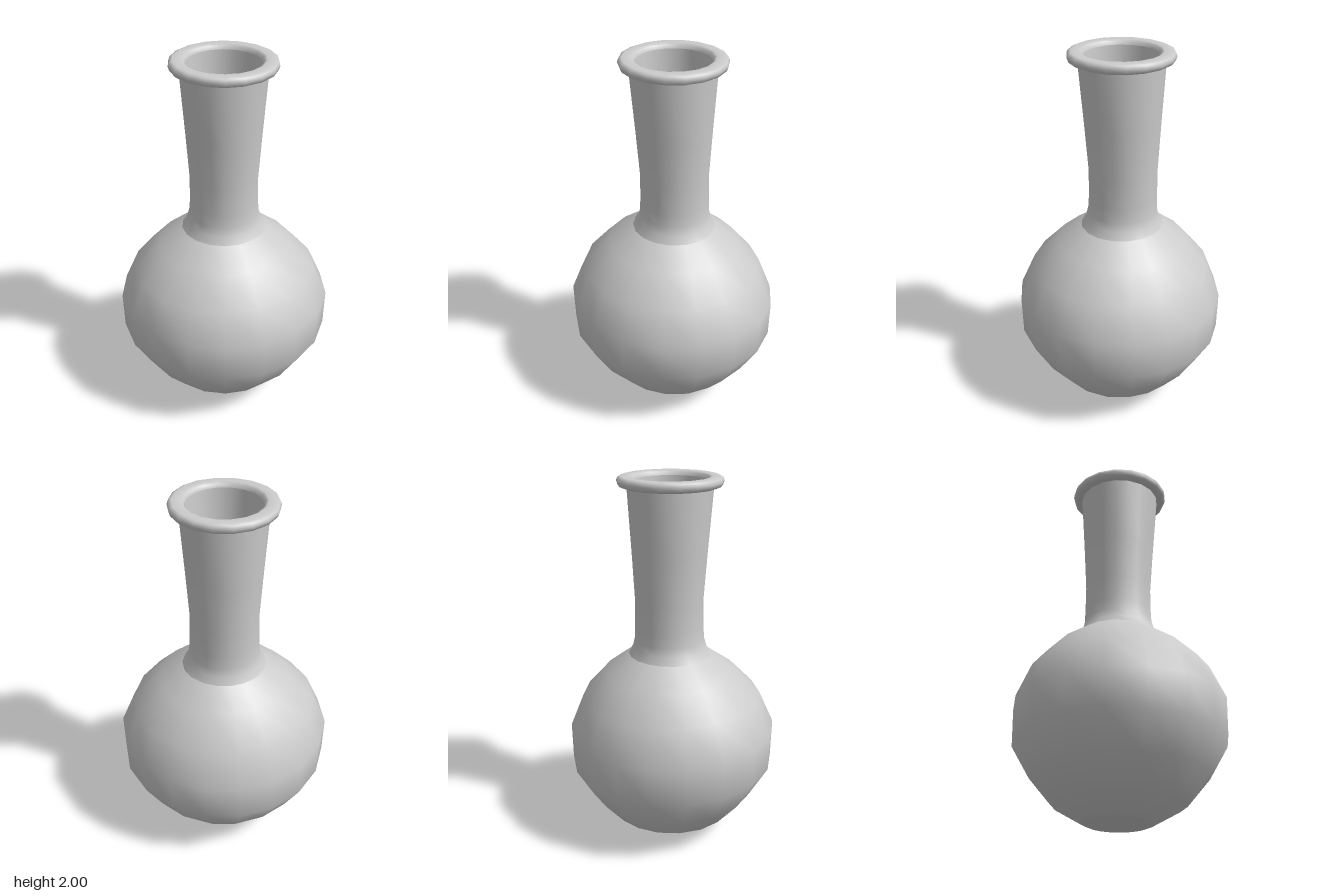
import * as THREE from 'three';
import { mergeVertices } from 'three/addons/utils/BufferGeometryUtils.js';

const SIDES = 18;

// Hand-made irregularity: the back of the bulb is flattened and sags, and the axis leans a little.
function deform(geometry) {
  const p = geometry.attributes.position;
  for (let i = 0; i < p.count; i++) {
    const x = p.getX(i), y = p.getY(i), z = p.getZ(i);
    const r = Math.hypot(x, z);
    const back = r > 1e-6 ? Math.max(0, -z / r) : 0;
    const bulb = 1 - THREE.MathUtils.smoothstep(y, 1.0, 1.3);
    const scale = 1 - 0.077 * back * bulb;
    const sag = y < 1.1 ? 0.035 * back * Math.sin(Math.PI * y / 1.1) ** 2 : 0;
    const shift = THREE.MathUtils.mapLinear(Math.max(y, 1.05), 1.05, 2, -0.025, -0.012);
    p.setXYZ(i, x * scale, y - sag, z * scale + shift);
  }
}

// Turned part from [radius, height] pairs, with smooth normals across the seam
function turned(name, profile, material) {
  let geometry = new THREE.LatheGeometry(profile.map(([r, y]) => new THREE.Vector2(r, y)), SIDES);
  deform(geometry);
  geometry.deleteAttribute('normal');
  geometry.deleteAttribute('uv');
  geometry = mergeVertices(geometry, 1e-5);
  geometry.computeVertexNormals();
  const mesh = new THREE.Mesh(geometry, material);
  mesh.name = name;
  return mesh;
}

export function createModel() {
  const group = new THREE.Group();
  group.name = 'flask';
  const material = new THREE.MeshStandardMaterial({ color: 0xcccccc, side: THREE.DoubleSide });

  // Outer bulb, from the base edge to the foot of the neck
  const bulb = [
    [0.195, 0.012], [0.36, 0.103], [0.482, 0.247], [0.585, 0.425],
    [0.589, 0.63], [0.507, 0.81], [0.367, 0.952], [0.232, 1.045],
  ];
  group.add(turned('bulb', bulb, material));

  // Flat base with a small bevel
  group.add(turned('base', [[0, 0], [0.165, 0], [0.195, 0.012]], material));

  // Neck, flaring at both ends
  group.add(turned('neck', [
    [0.232, 1.045], [0.206, 1.085], [0.193, 1.13], [0.187, 1.2],
    [0.184, 1.35], [0.2, 1.6], [0.225, 1.95],
  ], material));

  // Rounded lip around the mouth
  group.add(turned('lip', [
    [0.22, 1.955], [0.25, 1.946], [0.27, 1.955], [0.277, 1.975], [0.271, 1.993],
    [0.255, 2], [0.215, 2], [0.2, 1.993], [0.194, 1.975],
  ], material));

  // Hollow inside: throat and inner bulb
  group.add(turned('throat', [
    [0.194, 1.975], [0.19, 1.93], [0.17, 1.6], [0.156, 1.35], [0.157, 1.2], [0.2, 1.03],
  ], material));
  const inner = bulb.slice(1, -1).reverse().map(([r, y]) => [r - 0.03, y]);
  group.add(turned('innerBulb', [[0.2, 1.03], ...inner, [0.175, 0.035]], material));
  group.add(turned('innerFloor', [[0.175, 0.035], [0, 0.035]], material));

  return group;
}
